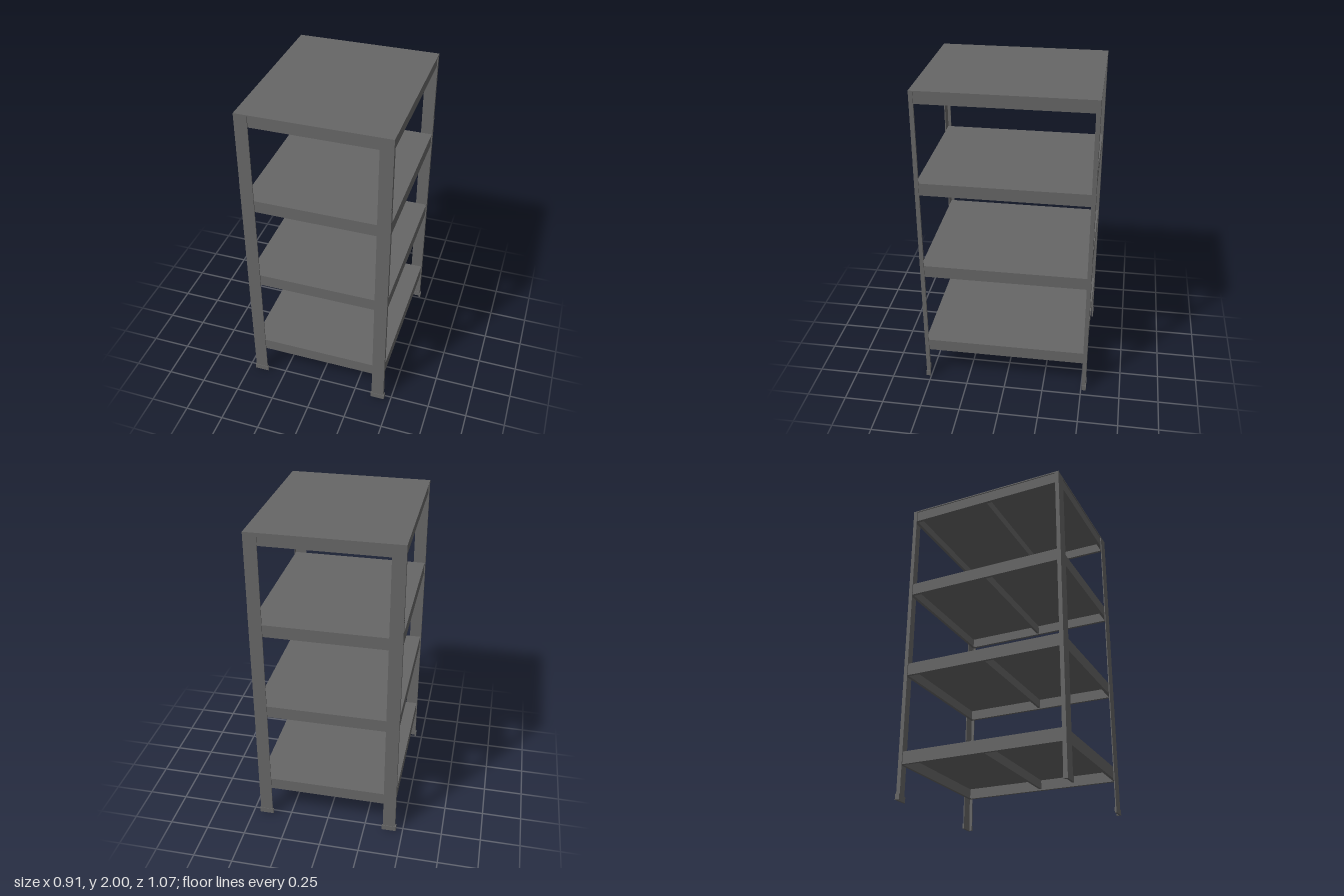
import * as THREE from 'three';

const HX = 0.45, HZ = 0.53, T = 0.006;   // half width, half depth, sheet thickness
const TOPS = [0.29, 0.86, 1.43, 2.0];    // upper face of each shelf
const RIM = 0.078;                       // shelf edge height

export function createModel() {
  const model = new THREE.Group();
  const steel = new THREE.MeshStandardMaterial({ color: 0x666666 });
  steel.name = 'greySteel';

  const add = (parent, name, geometry) => {
    const mesh = new THREE.Mesh(geometry, steel);
    mesh.name = name;
    parent.add(mesh);
  };
  const box = (parent, name, w, h, d, x, y, z) =>
    add(parent, name, new THREE.BoxGeometry(w, h, d).translate(x, y, z));

  // Upright L-section with its outer corner at (sx * x, sz * z)
  const angle = (parent, name, sx, sz, x, z, wide, deep, y0, y1, t) => {
    const points = [
      [x, z], [x - wide, z], [x - wide, z - t],
      [x - t, z - t], [x - t, z - deep], [x, z - deep],
    ].map(([px, pz]) => new THREE.Vector2(sx * px, -sz * pz));
    const geometry = new THREE.ExtrudeGeometry(new THREE.Shape(points), { depth: y1 - y0, bevelEnabled: false });
    add(parent, name, geometry.rotateX(-Math.PI / 2).translate(0, y0, 0));
  };

  // Corner posts in two sections, each in a plastic-style shoe
  for (const sx of [-1, 1]) {
    for (const sz of [-1, 1]) {
      const post = new THREE.Group();
      post.name = (sz > 0 ? 'front' : 'back') + (sx > 0 ? 'Left' : 'Right') + 'Post';
      angle(post, 'lowerPost', sx, sz, HX + 0.001, HZ, 0.08, 0.025, 0.005, 1.55, T);
      angle(post, 'upperPost', sx, sz, HX, HZ, 0.079, 0.025, 1.55, 1.996, T);
      angle(post, 'foot', sx, sz, HX + 0.007, HZ + 0.003, 0.092, 0.028, 0, 0.035, 0.012);
      model.add(post);
    }
  }

  // Shelves: panel, folded rim with a small return lip, and a cross brace below
  TOPS.forEach((top, i) => {
    const shelf = new THREE.Group();
    shelf.name = 'shelf' + (i + 1);
    const isTop = i === TOPS.length - 1;
    const x = HX - T, z = HZ - T;
    const px = isTop ? HX : x, pz = isTop ? HZ : z;
    const rimH = RIM - 0.008, rimY = top - 0.008 - rimH / 2, low = top - RIM;
    box(shelf, 'panel', 2 * px, 0.008, 2 * pz, 0, top - 0.004, 0);
    for (const s of [-1, 1]) {
      box(shelf, 'endRim', 2 * x, rimH, T, 0, rimY, s * (z - T / 2));
      box(shelf, 'sideRim', T, rimH, 2 * z - 2 * T, s * (x - T / 2), rimY, 0);
      box(shelf, 'endLip', 2 * (x - T), 0.004, 0.012, 0, low + 0.002, s * (z - T - 0.006));
      box(shelf, 'sideLip', 0.012, 0.004, 2 * (z - T) - 0.024, s * (x - T - 0.006), low + 0.002, 0);
    }
    box(shelf, 'crossBrace', 2 * (x - T), 0.058, 0.015, 0, top - 0.008 - 0.029, 0);
    model.add(shelf);
  });

  return model;
}
